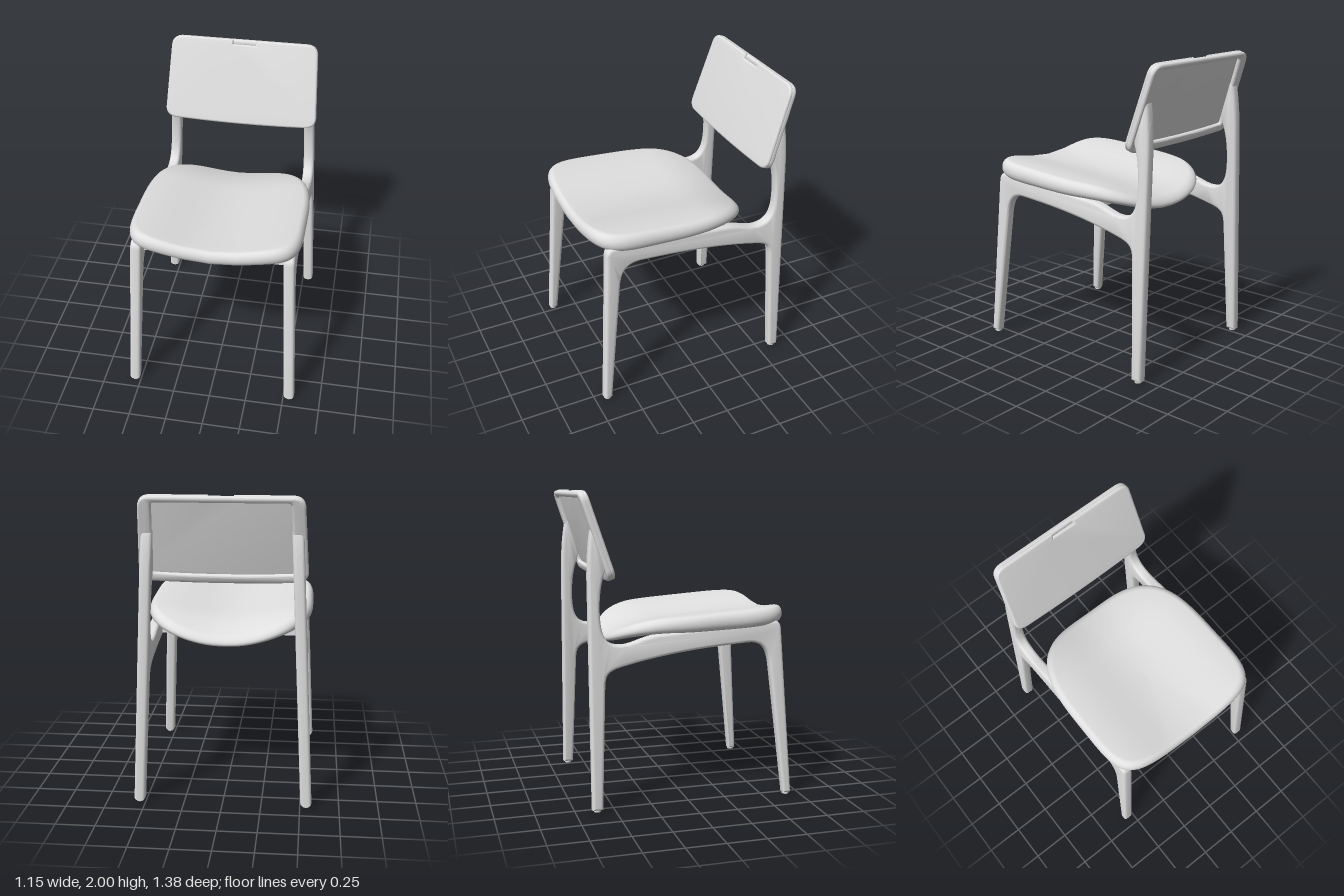
import * as THREE from 'three';
import { toCreasedNormals } from 'three/addons/utils/BufferGeometryUtils.js';

const paleGrey = new THREE.MeshStandardMaterial({ color: 0xe0e0e0 });
paleGrey.name = 'paleGrey';

function add(parent, name, geometry, x = 0, y = 0, z = 0) {
  const mesh = new THREE.Mesh(geometry, paleGrey);
  mesh.name = name;
  mesh.position.set(x, y, z);
  parent.add(mesh);
  return mesh;
}

// Extrusion with rounded edges that keeps the drawn outline and total depth
function roundedExtrude(shape, depth, bevel) {
  return new THREE.ExtrudeGeometry(shape, {
    depth: depth - 2 * bevel, bevelEnabled: true, bevelThickness: bevel,
    bevelSize: bevel, bevelOffset: -bevel, bevelSegments: 4, curveSegments: 10,
  }).translate(0, 0, bevel);
}

// Sideways offset of the splayed side frames at a given height
const splay = (y) => 0.54 - 0.046 * y;

// One side: front leg, rail and back leg in one sweeping outline (z, y)
function sideFrame(side) {
  const s = new THREE.Shape();
  s.moveTo(0.692, 0.012);
  s.lineTo(0.622, 1.11);
  s.quadraticCurveTo(0.617, 1.165, 0.565, 1.163);
  s.lineTo(-0.2, 1.105);
  s.bezierCurveTo(-0.31, 1.095, -0.37, 1.05, -0.44, 1.05);
  s.bezierCurveTo(-0.54, 1.05, -0.568, 1.11, -0.572, 1.24);
  s.bezierCurveTo(-0.575, 1.38, -0.555, 1.46, -0.52, 1.55);
  s.lineTo(-0.59, 1.78);
  s.quadraticCurveTo(-0.605, 1.8, -0.618, 1.77);
  s.quadraticCurveTo(-0.642, 1.65, -0.645, 1.45);
  s.lineTo(-0.645, 0.012);
  s.lineTo(-0.577, 0.012);
  s.lineTo(-0.548, 0.78);
  s.bezierCurveTo(-0.545, 0.87, -0.53, 0.885, -0.45, 0.91);
  s.bezierCurveTo(-0.2, 0.975, 0.1, 1.01, 0.4, 1.027);
  s.bezierCurveTo(0.49, 1.03, 0.53, 0.98, 0.541, 0.88);
  s.lineTo(0.638, 0.012);
  const g = roundedExtrude(s, 0.072, 0.02);
  g.translate(0, 0, -0.036).rotateY(-Math.PI / 2);
  const p = g.attributes.position;
  for (let i = 0; i < p.count; i++) p.setX(i, p.getX(i) + side * splay(p.getY(i)));
  return toCreasedNormals(g, 0.6);
}

// Saddle-shaped cushion made from concentric rounded outlines
function seatGeometry() {
  const N = 128, rings = [];
  for (let i = 0; i <= 10; i++) rings.push([0.092 * i, 0]);
  for (let i = 1; i <= 12; i++) {
    const f = Math.PI * i / 12;
    rings.push([0.92 + 0.08 * Math.sin(f), (Math.cos(f) - 1) / 2]);
  }
  for (let i = 9; i >= 0; i--) rings.push([0.092 * i, -1]);

  const pos = [], idx = [];
  rings.forEach(([scale, v], r) => {
    for (let j = 0; j < N; j++) {
      const a = 2 * Math.PI * j / N, c = Math.cos(a), s = Math.sin(a);
      const front = s > 0, e = 2 / (front ? 5 : 3);
      const x = scale * 0.558 * Math.sign(c) * Math.abs(c) ** e;
      const z = 0.2 + scale * (front ? 0.49 : -0.66) * Math.abs(s) ** e;
      const lift = 0.03 * (1 - Math.cos(Math.PI * Math.min(Math.abs(x) / 0.5, 1)));
      const drop = 0.5 * Math.min(z + 0.1, 0) ** 2;
      const thickness = 0.078 + 0.03 * z + 0.1 * x * x;
      pos.push(x, 1.153 + 0.07 * z + lift - drop + v * thickness, z);
      if (r < rings.length - 1) {
        const k = (j + 1) % N, i0 = r * N, i1 = i0 + N;
        idx.push(i0 + j, i0 + k, i1 + j, i0 + k, i1 + k, i1 + j);
      }
    }
  });
  const g = new THREE.BufferGeometry();
  g.setAttribute('position', new THREE.Float32BufferAttribute(pos, 3));
  g.setIndex(idx);
  g.computeVertexNormals();
  return g;
}

// Tapered backrest outline with round corners and an optional top notch
function backOutline(Type, inset, low, high, r, notch) {
  const b = 0.526 - inset, t = 0.503 - inset, s = new Type();
  s.moveTo(-b + r, low + 0.008);
  s.quadraticCurveTo(0, low - 0.012, b - r, low + 0.008);
  s.quadraticCurveTo(b, low + 0.012, b, low + r);
  s.lineTo(t, high - r);
  s.quadraticCurveTo(t, high, t - r, high);
  if (notch) {
    s.lineTo(0.077, high);
    s.lineTo(0.077, high - 0.033);
    s.lineTo(-0.077, high - 0.033);
    s.lineTo(-0.077, high);
  }
  s.lineTo(-t + r, high);
  s.quadraticCurveTo(-t, high, -t, high - r);
  s.lineTo(-b, low + r);
  s.quadraticCurveTo(-b, low + 0.012, -b + r, low + 0.008);
  return s;
}

export function createModel() {
  const chair = new THREE.Group();
  chair.name = 'chair';

  add(chair, 'seat', seatGeometry());

  // Side frames and foot glides
  for (const side of [1, -1]) {
    add(chair, side > 0 ? 'leftFrame' : 'rightFrame', sideFrame(side));
    for (const z of [0.664, -0.611])
      add(chair, 'footGlide', new THREE.CylinderGeometry(0.025, 0.023, 0.03, 20), side * 0.54, 0.015, z);
  }

  // Angle-section cross rails under the seat
  for (const [y, z] of [[1.003, -0.1], [1.048, 0.46]]) {
    add(chair, 'crossRail', new THREE.BoxGeometry(0.94, 0.08, 0.022), 0, y + 0.04, z);
    add(chair, 'crossRailFlange', new THREE.BoxGeometry(0.94, 0.014, 0.07), 0, y + 0.007, z + 0.035);
  }

  // Leaning backrest: solid front pad with an open rim behind it
  const back = new THREE.Group();
  back.name = 'backrest';
  back.position.set(0, 1.447, -0.488);
  back.rotation.x = -0.319;
  const pad = backOutline(THREE.Shape, 0, -0.006, 0.573, 0.08, true);
  add(back, 'backPad', toCreasedNormals(roundedExtrude(pad, 0.03, 0.014), 0.7), 0, 0, -0.004);
  const rim = backOutline(THREE.Shape, 0, -0.006, 0.573, 0.08, false);
  rim.holes.push(backOutline(THREE.Path, 0.085, 0.05, 0.535, 0.02, false));
  add(back, 'backRim', toCreasedNormals(roundedExtrude(rim, 0.04, 0.014), 0.7), 0, 0, -0.028);
  chair.add(back);

  return chair;
}
